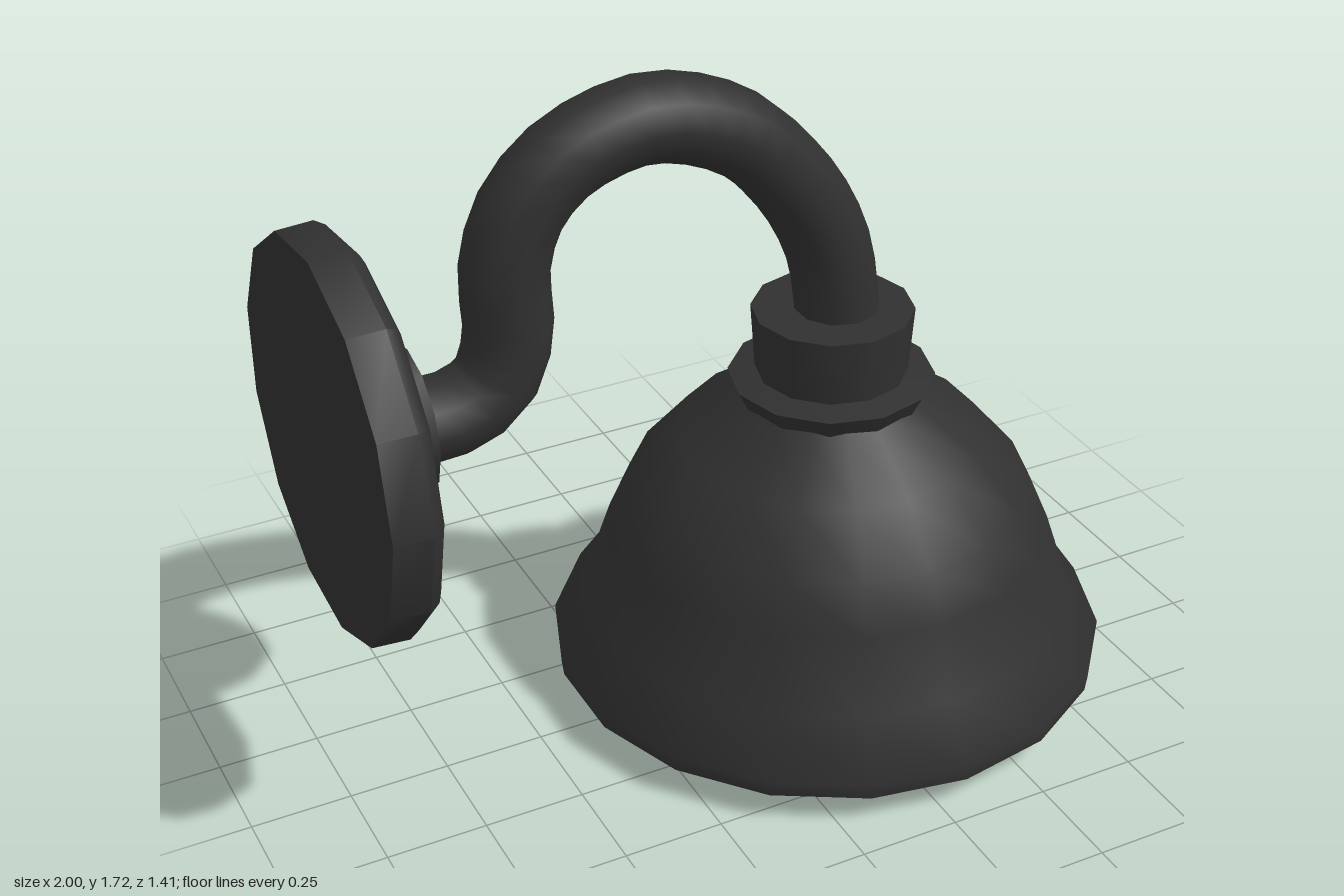
import * as THREE from 'three';
import { toCreasedNormals } from 'three/addons/utils/BufferGeometryUtils.js';

const mat = (name, color, side = THREE.FrontSide) => {
  const m = new THREE.MeshStandardMaterial({ color, side });
  m.name = name;
  return m;
};

// Surface of revolution about y; profile runs from bottom to top as [radius, height]
const lathe = (profile, sides, crease = 0.7) =>
  toCreasedNormals(new THREE.LatheGeometry(profile.map(([r, y]) => new THREE.Vector2(r, y)), sides), crease);

export function createModel() {
  const group = new THREE.Group();
  const black = mat('matte black', 0x303030);
  const lining = mat('warm brass lining', 0xc89055);
  const glass = mat('amber glass', 0xe0b176);

  const add = (name, geometry, material, x = 0, y = 0) => {
    const mesh = new THREE.Mesh(geometry, material);
    mesh.name = name;
    mesh.position.set(x, y, 0);
    group.add(mesh);
    return mesh;
  };
  const shadeX = 0.31;

  // Wall plate and its hub, turned so their axis points along +x
  const plate = add('wallPlate', lathe(
    [[0, 0], [0.475, 0], [0.48, 0.09], [0.465, 0.115], [0.44, 0.128], [0, 0.128]], 13), black, -1, 1.015);
  const hub = add('wallHub', lathe(
    [[0.185, 0.1], [0.185, 0.135], [0.175, 0.225], [0, 0.225]], 12), black, -1, 1.015);
  for (const part of [plate, hub]) part.rotation.z = -Math.PI / 2;

  // Gooseneck arm
  const path = new THREE.CatmullRomCurve3([
    [-0.82, 1], [-0.68, 1], [-0.58, 1.05], [-0.535, 1.16], [-0.535, 1.34], [-0.49, 1.47],
    [-0.395, 1.565], [-0.27, 1.615], [-0.17, 1.625], [-0.05, 1.595], [0.06, 1.535],
    [0.145, 1.45], [0.23, 1.335], [0.295, 1.19], [0.325, 1.0],
  ].map(([x, y]) => new THREE.Vector3(x, y, 0)), false, 'centripetal');
  add('gooseneckArm', new THREE.TubeGeometry(path, 28, 0.104, 10), black);

  // Socket cap above the shade
  add('socketCap', lathe([[0.185, 0.82], [0.2, 1.03], [0, 1.03]], 12), black, shadeX);

  // Flared collar
  add('collar', lathe([[0.215, 0.77], [0.255, 0.85], [0.18, 0.865]], 12), black, shadeX);

  // Bell shade: underside of the rim, then the outer wall
  add('shade', lathe([
    [0.665, 0.085], [0.7, 0.078], [0.705, 0.12], [0.62, 0.245], [0.555, 0.44], [0.5, 0.555],
    [0.385, 0.69], [0.24, 0.79], [0.2, 0.83],
  ], 18, 0.9), black, shadeX);

  // Lining, profile reversed so it faces inward
  add('shadeLining', lathe([
    [0, 0.76], [0.22, 0.755], [0.36, 0.665], [0.47, 0.54], [0.525, 0.43], [0.59, 0.24],
    [0.66, 0.125], [0.665, 0.085],
  ], 18, 0.9), lining, shadeX);

  // Round bulb with a neck running up into the socket
  const bulb = [];
  for (let i = 0; i <= 9; i++) {
    const a = (i / 9) * 2.5;
    bulb.push([0.24 * Math.sin(a), 0.245 - 0.24 * Math.cos(a)]);
  }
  bulb.push([0.11, 0.5], [0.1, 0.77]);
  add('bulb', lathe(bulb, 14), glass, shadeX + 0.01);

  return group;
}
